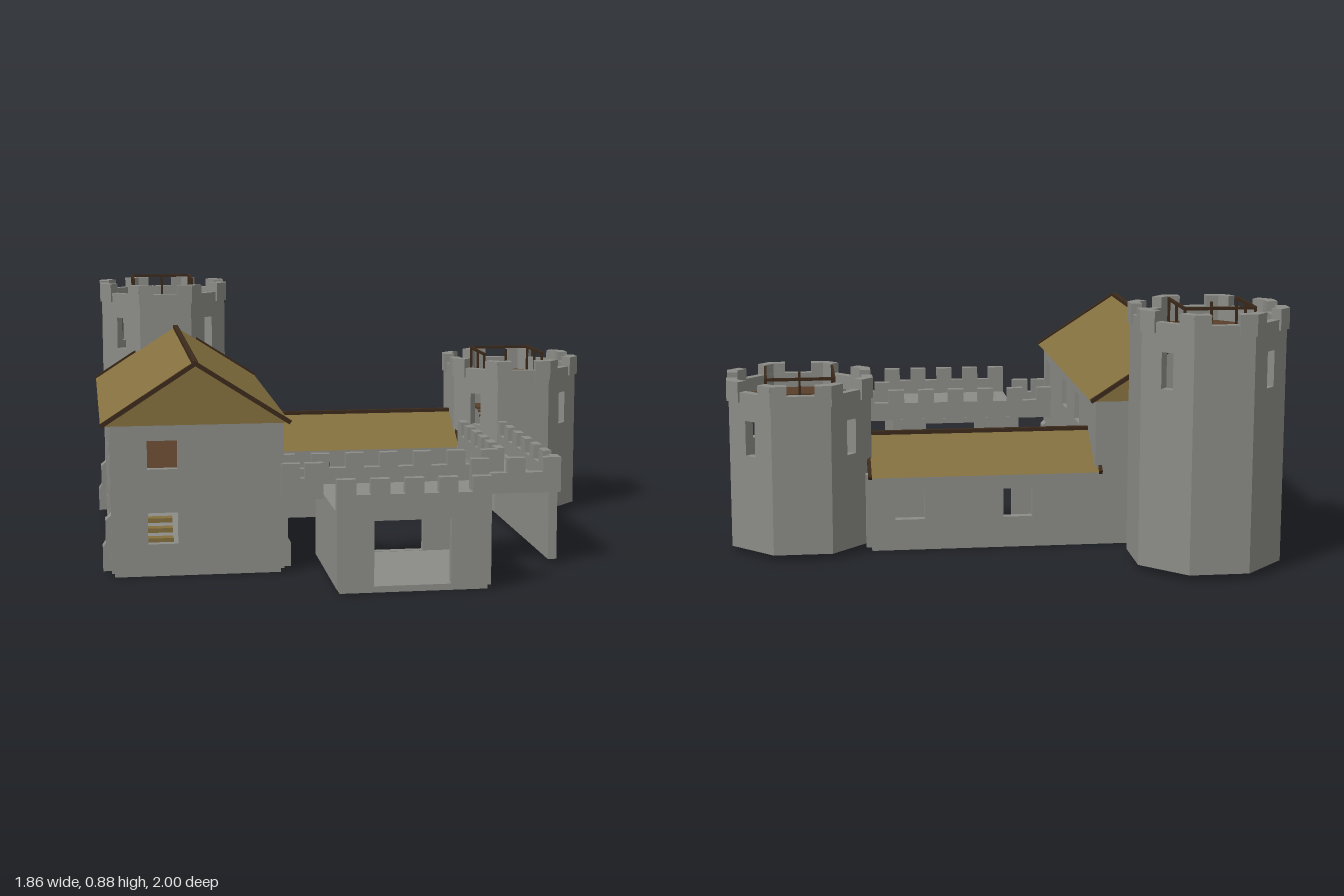
import * as THREE from 'three';

const mat = (name, color, side = THREE.FrontSide) => {
  const m = new THREE.MeshStandardMaterial({ color, side });
  m.name = name;
  return m;
};
const stone = mat('stone', 0x8b8b86);
const thatch = mat('roof ochre', 0x84703f);
const boards = mat('floor boards', 0x583f2a);
const timber = mat('dark timber', 0x3c2a1a);

function add(parent, name, geo, material, x = 0, y = 0, z = 0, ry = 0) {
  const m = new THREE.Mesh(geo, material);
  m.name = name;
  m.position.set(x, y, z);
  m.rotation.y = ry;
  parent.add(m);
  return m;
}

// Box given by its limits
function block(parent, name, material, x0, x1, y0, y1, z0, z1) {
  return add(parent, name, new THREE.BoxGeometry(x1 - x0, y1 - y0, z1 - z0), material,
    (x0 + x1) / 2, (y0 + y1) / 2, (z0 + z1) / 2);
}

const rect = (S, x0, x1, y0, y1) => {
  const s = new S();
  s.moveTo(x0, y0); s.lineTo(x1, y0); s.lineTo(x1, y1); s.lineTo(x0, y1); s.closePath();
  return s;
};

// Upright wall with rectangular openings [u0, u1, y0, y1]; u runs along the wall
function wall(parent, name, u0, u1, y0, y1, t, holes, x, z, ry = 0) {
  const s = rect(THREE.Shape, u0, u1, y0, y1);
  for (const h of holes) s.holes.push(rect(THREE.Path, ...h));
  const g = new THREE.ExtrudeGeometry(s, { depth: t, bevelEnabled: false }).translate(0, 0, -t / 2);
  return add(parent, name, g, stone, x, 0, z, ry);
}

// Opening of width w centred on u
const opening = (u, y0, y1, w = 0.1) => [u - w / 2, u + w / 2, y0, y1];

// Gabled roof along z, with ridge and verge timbers
function gableRoof(parent, name, half, rise, len, x, y, z, ry = 0) {
  const g = new THREE.Group();
  g.name = name;
  g.position.set(x, y, z);
  g.rotation.y = ry;
  const s = new THREE.Shape();
  s.moveTo(-half, 0); s.lineTo(half, 0); s.lineTo(0, rise); s.closePath();
  add(g, 'roofBody', new THREE.ExtrudeGeometry(s, { depth: len, bevelEnabled: false }).translate(0, 0, -len / 2), thatch);
  add(g, 'ridge', new THREE.BoxGeometry(0.018, 0.014, len + 0.004), timber, 0, rise, 0);
  const slope = Math.hypot(half, rise);
  for (const sx of [-1, 1]) for (const sz of [-1, 1]) {
    const v = add(g, 'verge', new THREE.BoxGeometry(slope, 0.014, 0.012), timber, sx * half / 2, rise / 2, sz * (len / 2 - 0.003));
    v.rotation.z = -sx * Math.atan2(rise, half);
  }
  parent.add(g);
}

// Parapet with n merlons along local x
function parapet(parent, len, n, x, z, ry = 0) {
  const g = new THREE.Group();
  g.name = 'parapet';
  g.position.set(x, 0, z);
  g.rotation.y = ry;
  block(g, 'parapetWall', stone, -len / 2, len / 2, 0.255, 0.32, -0.015, 0.015);
  const w = 0.062;
  for (let i = 0; i < n; i++) {
    const u = n === 1 ? 0 : -len / 2 + w / 2 + i * (len - w) / (n - 1);
    block(g, 'merlon', stone, u - w / 2, u + w / 2, 0.32, 0.37, -0.015, 0.015);
  }
  parent.add(g);
}

// Stepped buttress leaning on a wall that faces +x (dir 1) or -x (dir -1)
function buttress(parent, x, z, dir) {
  const s = new THREE.Shape();
  [[-0.01, 0.02], [0.028, 0.02], [0.028, 0.1], [0.018, 0.115], [0.018, 0.19], [-0.01, 0.215]]
    .forEach(([a, b], i) => (i ? s.lineTo(a, b) : s.moveTo(a, b)));
  const g = new THREE.ExtrudeGeometry(s, { depth: 0.056, bevelEnabled: false }).translate(0, 0, -0.028);
  add(parent, 'buttress', g, stone, x, 0, z, dir > 0 ? 0 : Math.PI);
}

// Octagonal plate, optionally with the stair hatch
function octagon(apothem, thick, hatch) {
  const s = new THREE.Shape();
  const r = apothem / Math.cos(Math.PI / 8);
  for (let k = 0; k < 8; k++) {
    const a = (k + 0.5) * Math.PI / 4;
    s[k ? 'lineTo' : 'moveTo'](r * Math.cos(a), r * Math.sin(a));
  }
  s.closePath();
  if (hatch) s.holes.push(rect(THREE.Path, -0.115, 0.115, -0.075, 0.165));
  return new THREE.ExtrudeGeometry(s, { depth: thick, bevelEnabled: false }).rotateX(-Math.PI / 2);
}

function tower(parent, name, x, z, H) {
  const g = new THREE.Group();
  g.name = name;
  g.position.set(x, 0, z);
  const ap = 0.24, t = 0.03, hw = ap * Math.tan(Math.PI / 8), floor = H - 0.085;
  for (let k = 0; k < 8; k++) {
    const a = k * Math.PI / 4, d = ap - t / 2;
    const slit = k % 2 ? [opening(0, H - 0.25, H - 0.13, 0.044)] : [];
    wall(g, 'towerWall', -hw, hw, 0.02, H - 0.035, t, slit, d * Math.sin(a), d * Math.cos(a), a);
    // Corner merlons, slightly proud of the wall
    for (const s of [-1, 1]) {
      const geo = new THREE.BoxGeometry(0.056, 0.07, 0.037).translate(s * (hw - 0.025), H - 0.035, d + 0.004);
      add(g, 'towerMerlon', geo, stone, 0, 0, 0, a);
    }
  }
  add(g, 'towerBase', octagon(ap - 0.002, 0.015), stone, 0, 0.021, 0);
  add(g, 'towerDeck', octagon(ap - t + 0.002, 0.015, true), boards, 0, floor - 0.015, 0);
  add(g, 'lowerFloor', octagon(ap - t + 0.002, 0.012), boards, 0, floor - 0.26, 0);
  // Two stair flights with a landing between
  const n = 7;
  for (let i = 0; i < n; i++) {
    const zz = 0.07 - i * 0.018;
    block(g, 'tread', boards, 0.004, 0.11, floor - 0.025 - i * 0.016, floor - 0.018 - i * 0.016, zz - 0.015, zz);
    const y = floor - 0.245 + i * 0.016;
    block(g, 'tread', boards, -0.11, -0.004, y, y + 0.007, zz - 0.015, zz);
  }
  block(g, 'landing', boards, -0.112, 0.112, floor - 0.14, floor - 0.13, -0.16, -0.055);
  // Railing round the hatch
  const top = H + 0.015;
  for (const sx of [-0.115, 0.115]) {
    block(g, 'handrail', timber, sx - 0.004, sx + 0.004, top - 0.01, top, -0.17, 0.075);
    for (const sz of [-0.165, -0.045, 0.07])
      block(g, 'railPost', timber, sx - 0.004, sx + 0.004, floor, top, sz - 0.004, sz + 0.004);
  }
  block(g, 'handrail', timber, -0.115, 0.115, top - 0.01, top, -0.17, -0.162);
  block(g, 'railPost', timber, -0.004, 0.004, floor - 0.24, top, -0.053, -0.045);
  block(g, 'stairRail', timber, -0.004, 0.004, floor - 0.01, floor, -0.05, 0.07);
  parent.add(g);
}

export function createModel() {
  const model = new THREE.Group();
  model.name = 'castle';
  const Q = Math.PI / 2, t = 0.03;

  // Great hall
  const hall = new THREE.Group();
  hall.name = 'greatHall';
  model.add(hall);
  block(hall, 'hallBase', stone, -0.89, -0.34, 0, 0.022, -0.51, 0.66);
  wall(hall, 'hallFrontWall', -0.9, -0.33, 0.015, 0.52, t,
    [opening(-0.73, 0.11, 0.215), opening(-0.73, 0.36, 0.465)], 0, 0.655);
  wall(hall, 'hallBackWall', -0.9, -0.33, 0.015, 0.52, t, [], 0, -0.505);
  const rows = [-0.26, 0.05, 0.35].flatMap(z => [opening(z, 0.11, 0.215), opening(z, 0.36, 0.465)]);
  wall(hall, 'hallOuterWall', -0.64, 0.49, 0.015, 0.52, t, rows.map(([a, b, c, d]) => [a, b, c, d]), -0.885, 0, -Q)
    .position.z = 0;
  // Along the courtyard wall u = -z
  wall(hall, 'hallCourtWall', -0.64, 0.49, 0.015, 0.52, t, [
    opening(-0.15, 0.025, 0.215, 0.12), opening(-0.15, 0.36, 0.465), opening(0.13, 0.36, 0.465),
    [-0.63, -0.51, 0.265, 0.46]], -0.345, 0, Q);
  hall.getObjectByName('hallOuterWall').geometry.translate(0.15, 0, 0).translate(-0.075, 0, 0);
  hall.getObjectByName('hallOuterWall').position.z = 0;
  block(hall, 'upperFloor', boards, -0.872, -0.358, 0.25, 0.264, -0.49, 0.64);
  for (let i = 0; i < 8; i++)
    block(hall, 'hallStair', thatch, -0.84, -0.69, 0.03 + i * 0.028, 0.045 + i * 0.028, 0.56 - i * 0.03, 0.6 - i * 0.03);
  gableRoof(hall, 'hallRoof', 0.31, 0.2, 1.24, -0.62, 0.51, 0.08);
  for (const z of [-0.4, 0.62]) buttress(hall, -0.9, z, -1);
  buttress(hall, -0.335, 0.635, 1);

  // Low rear wing
  const wing = new THREE.Group();
  wing.name = 'rearWing';
  model.add(wing);
  block(wing, 'wingBase', stone, -0.34, 0.44, 0, 0.022, -0.51, -0.21);
  wall(wing, 'wingFrontWall', -0.33, 0.46, 0.015, 0.27, t, [[-0.08, 0.04, 0.025, 0.215]], 0, -0.215);
  wall(wing, 'wingBackWall', -0.33, 0.46, 0.015, 0.27, t,
    [opening(-0.062, 0.11, 0.21), opening(0.31, 0.11, 0.21)], 0, -0.505);
  gableRoof(wing, 'wingRoof', 0.18, 0.12, 0.8, 0.05, 0.262, -0.36, Q);

  // Gatehouse with a passage through it
  const gate = new THREE.Group();
  gate.name = 'gatehouse';
  model.add(gate);
  block(gate, 'gateBase', stone, -0.19, 0.29, 0, 0.022, 0.49, 0.985);
  for (const z of [0.495, 0.98])
    wall(gate, 'gateWall', -0.2, 0.3, 0.015, 0.255, t, [[-0.08, 0.17, 0.023, 0.235]], 0, z);
  for (const x of [-0.19, 0.29]) block(gate, 'gateSideWall', stone, x - 0.0099, x + 0.0099, 0.015, 0.255, 0.505, 0.97);
  block(gate, 'gateRoof', stone, -0.2, 0.3, 0.245, 0.265, 0.481, 0.995);
  parapet(gate, 0.5, 5, 0.05, 0.982);

  // Wall walks and curtain wall
  const walks = new THREE.Group();
  walks.name = 'curtainWall';
  model.add(walks);
  block(walks, 'frontWalkRight', stone, -0.34, -0.2, 0.25, 0.265, 0.482, 0.688);
  block(walks, 'frontWalkLeft', stone, 0.3, 0.608, 0.25, 0.265, 0.482, 0.688);
  block(walks, 'sideWalk', stone, 0.432, 0.608, 0.25, 0.265, -0.18, 0.482);
  block(walks, 'sideWall', stone, 0.572, 0.602, 0.015, 0.255, -0.15, 0.672);
  parapet(walks, 0.77, 7, 0.05, 0.496);
  parapet(walks, 0.14, 2, -0.27, 0.674);
  parapet(walks, 0.31, 3, 0.454, 0.674);
  parapet(walks, 0.64, 6, 0.447, 0.16, Q);
  parapet(walks, 0.83, 7, 0.594, 0.274, Q);
  for (const z of [0.07, 0.475]) buttress(walks, 0.602, z, 1);

  // Corner towers
  tower(model, 'tallTower', -0.657, -0.752, 0.87);
  tower(model, 'shortTower', 0.677, -0.36, 0.597);
  return model;
}
